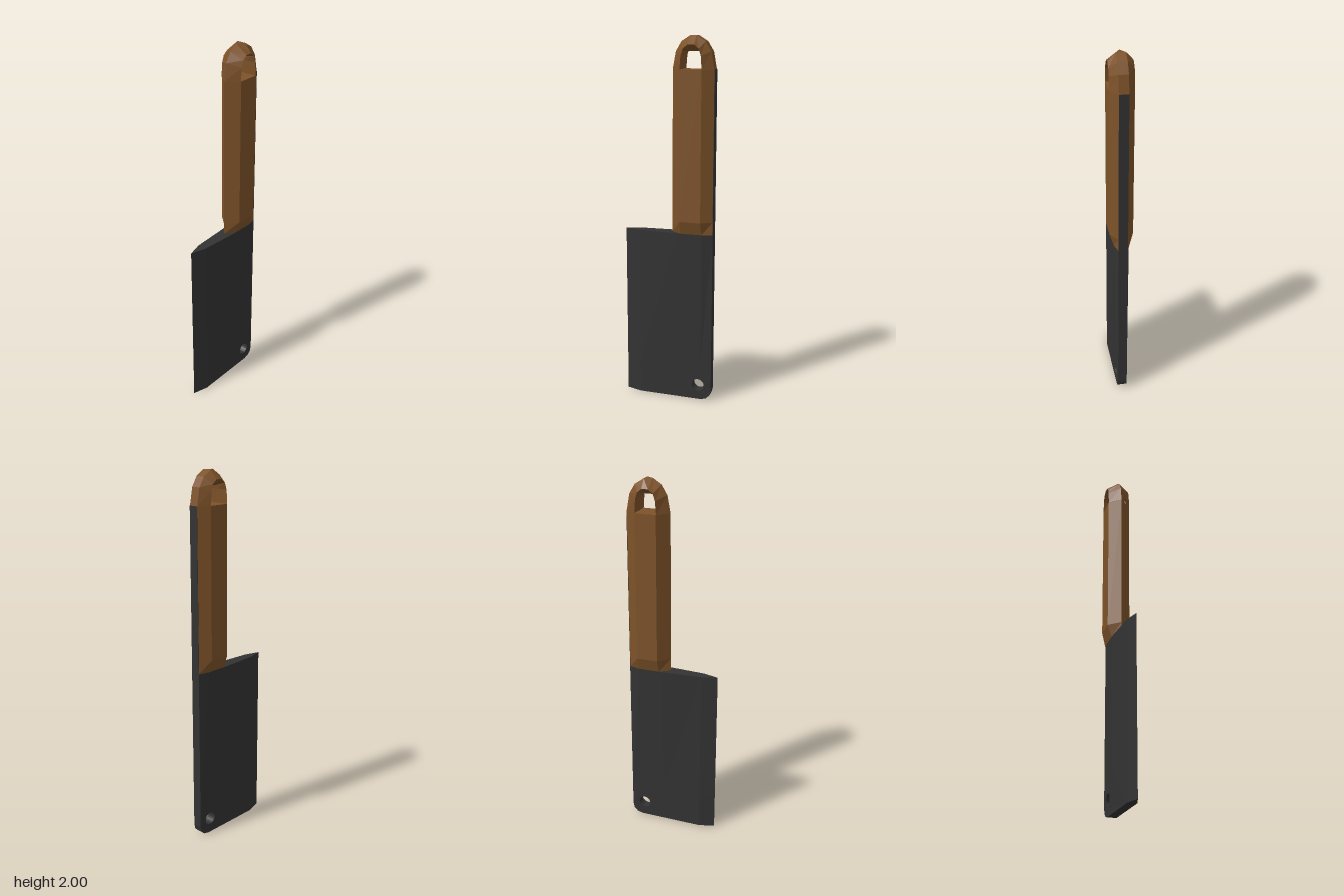
import * as THREE from 'three';

const steel = new THREE.MeshStandardMaterial({ color: 0x333333, flatShading: true });
const wood = new THREE.MeshStandardMaterial({ color: 0x7d5229, flatShading: true });

// Skin a list of equal-length point loops [x, y, z]; optional fan caps
function loft(loops, capped = true) {
  const pos = [];
  const tri = (a, b, c) => pos.push(...a, ...b, ...c);
  const n = loops[0].length;
  for (let i = 0; i < loops.length - 1; i++) {
    for (let j = 0; j < n; j++) {
      const k = (j + 1) % n;
      const a = loops[i][j], b = loops[i][k], c = loops[i + 1][k], d = loops[i + 1][j];
      tri(a, b, c);
      tri(a, c, d);
    }
  }
  if (capped) {
    const lo = loops[0], hi = loops[loops.length - 1];
    for (let j = 1; j < n - 1; j++) {
      tri(lo[0], lo[j + 1], lo[j]);
      tri(hi[0], hi[j], hi[j + 1]);
    }
  }
  const g = new THREE.BufferGeometry();
  g.setAttribute('position', new THREE.Float32BufferAttribute(pos, 3));
  g.computeVertexNormals();
  return g;
}

// Horizontal section: front point, then half profile [x, z] mirrored across x = 0
function section(y, frontZ, half) {
  return [
    [0, y, frontZ],
    ...half.map(([x, z]) => [x, y, z]),
    ...half.slice().reverse().map(([x, z]) => [-x, y, z]),
  ];
}

// Blade half thickness: swells towards the handle
const BLADE_TOP = 0.96, SPLIT = 0.2;
function halfThickness(z, y) {
  const bump = z > -0.06 ? (0.165 - z) / 0.225 : z < -0.19 ? (z + 0.25) / 0.06 : 1;
  return 0.025 + 0.015 * bump * y / BLADE_TOP;
}

function bladeSection(y) {
  return section(y, 0.25, [0.165, -0.06, -0.19, -0.25].map((z) => [halfThickness(z, y), z]));
}

// Lower end of the blade with hanging hole and clipped spine corner
function bladeTipGeometry() {
  const s = new THREE.Shape([
    [0.165, 0], [0.165, SPLIT], [-0.06, SPLIT], [-0.19, SPLIT], [-0.25, SPLIT],
    [-0.25, 0.06], [-0.243, 0.03], [-0.222, 0.008], [-0.19, 0],
  ].map(([z, y]) => new THREE.Vector2(z, y)));
  const hole = new THREE.Path();
  hole.absarc(-0.175, 0.085, 0.035, 0, Math.PI * 2, true);
  s.holes.push(hole);
  const g = new THREE.ExtrudeGeometry(s, { depth: 0.05, bevelEnabled: false, curveSegments: 10 });
  g.translate(0, 0, -0.025).rotateY(-Math.PI / 2);
  const p = g.attributes.position;
  for (let i = 0; i < p.count; i++) {
    p.setX(i, Math.sign(p.getX(i)) * halfThickness(p.getZ(i), p.getY(i)));
  }
  g.computeVertexNormals();
  return g;
}

// Handle grip section with half width w
const gripSection = (y, w) =>
  section(y, -0.018, [[w, -0.075], [w, -0.19], [0.025, -0.248]]);

// Arched end of the handle: rows of outer half width, outer, side and inner [z, y]
function archGeometry() {
  const rows = [
    [0, [-0.018, 1.83], [-0.073, 1.83], [-0.072, 1.83]],
    [0, [-0.035, 1.92], [-0.078, 1.9], [-0.076, 1.9]],
    [0, [-0.065, 1.97], [-0.09, 1.935], [-0.08, 1.92]],
    [0, [-0.112, 2.0], [-0.115, 1.955], [-0.11, 1.92]],
    [0.025, [-0.152, 2.0], [-0.15, 1.955], [-0.15, 1.92]],
    [0.025, [-0.2, 1.97], [-0.174, 1.935], [-0.183, 1.92]],
    [0.025, [-0.231, 1.92], [-0.185, 1.9], [-0.186, 1.9]],
    [0.025, [-0.248, 1.83], [-0.19, 1.83], [-0.19, 1.83]],
  ];
  const W = 0.0625;
  return loft(rows.map(([w, o, s, m]) => [
    [w, o[1], o[0]], [W, s[1], s[0]], [0, m[1], m[0]], [-W, s[1], s[0]], [-w, o[1], o[0]],
  ]), false);
}

export function createModel() {
  const model = new THREE.Group();
  model.name = 'cleaver';
  const add = (parent, name, geometry, material) => {
    const m = new THREE.Mesh(geometry, material);
    m.name = name;
    parent.add(m);
    return m;
  };

  const blade = new THREE.Group();
  blade.name = 'blade';
  add(blade, 'bladeBody', loft([bladeSection(SPLIT), bladeSection(BLADE_TOP)]), steel);
  add(blade, 'bladeTip', bladeTipGeometry(), steel);
  // Sharpened bevel beside the tip
  const bevel = (y) => section(y, 0.25, [[0.025, 0.165]]);
  add(blade, 'tipBevel', loft([bevel(0), bevel(SPLIT)]), steel);
  // Spine strip running up the back of the handle
  const tang = add(blade, 'tang', new THREE.BoxGeometry(0.05, 0.89, 0.03), steel);
  tang.position.set(0, 1.385, -0.235);

  const handle = new THREE.Group();
  handle.name = 'handle';
  add(handle, 'grip', loft([
    gripSection(BLADE_TOP, 0.04), gripSection(1.03, 0.0625), gripSection(1.83, 0.0625),
  ]), wood);
  add(handle, 'handleArch', archGeometry(), wood);

  model.add(blade, handle);
  return model;
}
